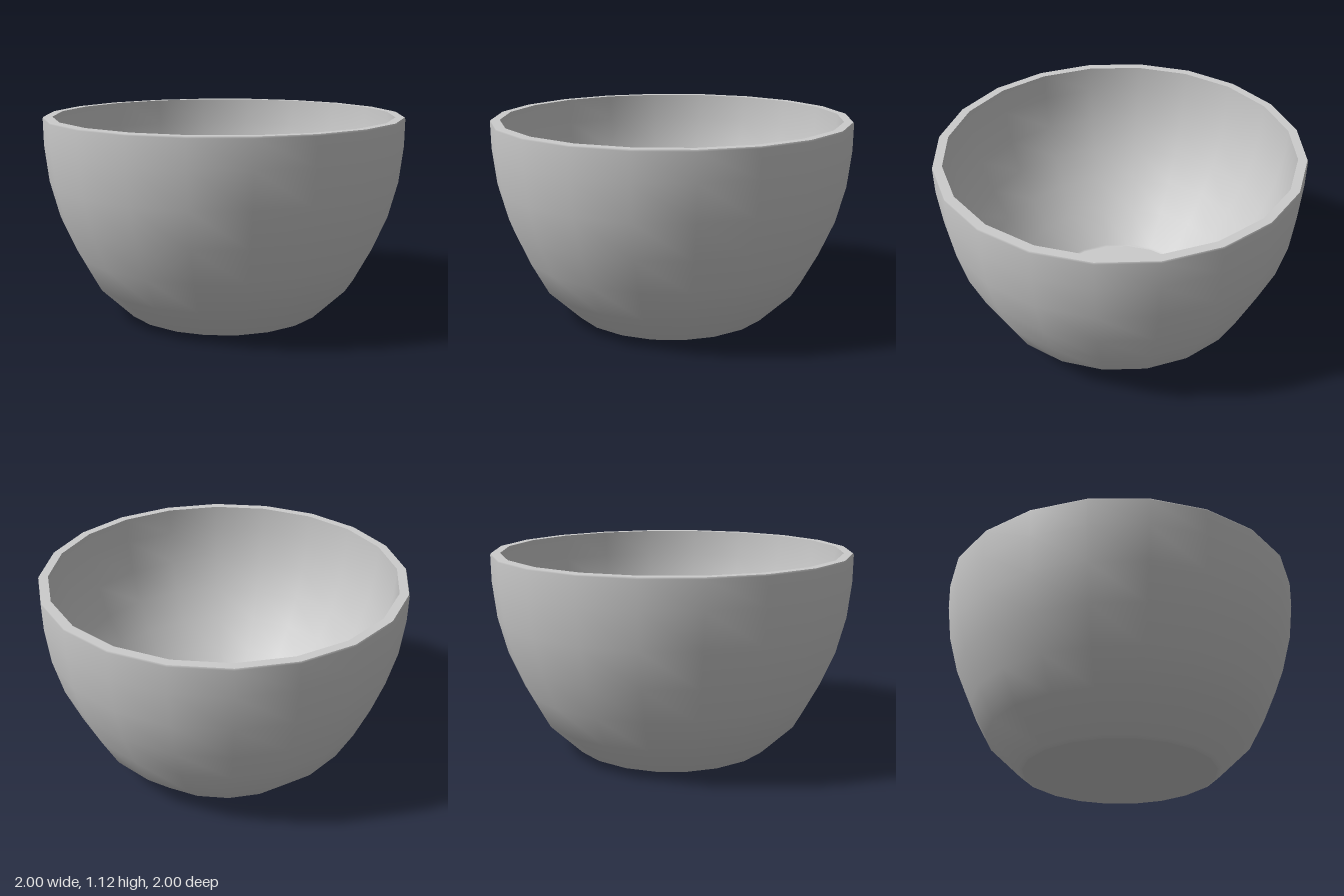
import * as THREE from 'three';

const SIDES = 20;

export function createModel() {
  const bowl = new THREE.Group();
  bowl.name = 'bowl';
  const material = new THREE.MeshStandardMaterial({ color: 0xcccccc });

  // Each part is its own lathe, smooth within itself and sharp where it meets the next
  const turn = (name, profile) => {
    const points = profile.map(([r, y]) => new THREE.Vector2(r, y));
    const mesh = new THREE.Mesh(new THREE.LatheGeometry(points, SIDES), material);
    mesh.name = name;
    bowl.add(mesh);
  };

  // Flat foot
  turn('base', [[0, 0], [0.535, 0]]);

  // Outer wall, bottom to top, with a small round at the foot and lip
  turn('outerWall', [
    [0.535, 0], [0.56, 0.012], [0.742, 0.187], [0.838, 0.365],
    [0.922, 0.558], [0.975, 0.76], [0.998, 0.96], [1, 1.108], [0.996, 1.117],
  ]);

  // Flat lip
  turn('rim', [[0.996, 1.117], [0.947, 1.117]]);

  // Inner wall, top to bottom, growing thicker towards the floor
  turn('innerWall', [
    [0.947, 1.117], [0.942, 0.97], [0.908, 0.78], [0.842, 0.6],
    [0.748, 0.43], [0.625, 0.27], [0.475, 0.105], [0.462, 0.1],
  ]);

  // Flat inside bottom
  turn('floor', [[0.462, 0.1], [0, 0.1]]);

  return bowl;
}
